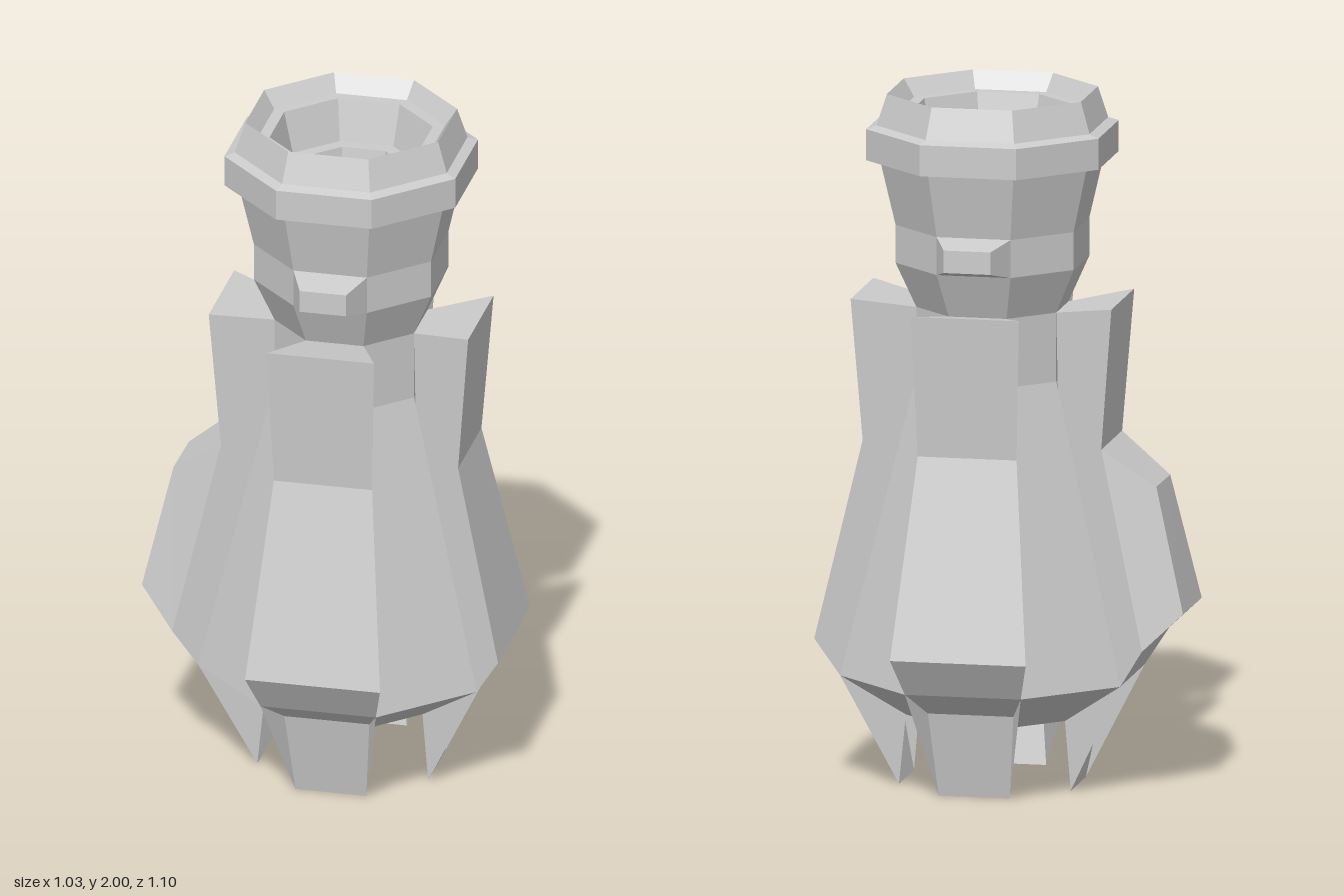
import * as THREE from 'three';

const material = new THREE.MeshStandardMaterial({ color: 0xcccccc, flatShading: true, side: THREE.DoubleSide });
const AXIS_Z = 0.035;

// Point at an angle (degrees from +x toward +z), radius and height
function polar(deg, r, y) {
  const a = THREE.MathUtils.degToRad(deg);
  return [r * Math.cos(a), y, r * Math.sin(a)];
}

function add(parent, name, geometry) {
  const mesh = new THREE.Mesh(geometry, material);
  mesh.name = name;
  parent.add(mesh);
  return mesh;
}

// Eight-sided turned form, with corners on the axes
function octagon(profile) {
  return new THREE.LatheGeometry(profile.map(([r, y]) => new THREE.Vector2(r, y)), 8);
}

// Facing strip through rows [radius, y] between two angles, listed top to bottom
function strip(a0, a1, rows) {
  const pos = [];
  for (let i = 0; i < rows.length - 1; i++) {
    const [r, y] = rows[i], [s, v] = rows[i + 1];
    const a = polar(a0, r, y), b = polar(a1, r, y), c = polar(a1, s, v), d = polar(a0, s, v);
    pos.push(...a, ...b, ...c, ...a, ...c, ...d);
  }
  return toGeometry(pos);
}

// Tapered block: four base corners joined to four raised corners, plus the outer face
function raisedBlock(base, top) {
  const pos = [];
  const quad = (a, b, c, d) => pos.push(...a, ...b, ...c, ...a, ...c, ...d);
  for (let i = 0; i < 4; i++) {
    const j = (i + 1) % 4;
    quad(base[i], base[j], top[j], top[i]);
  }
  quad(...top);
  return toGeometry(pos);
}

function toGeometry(pos) {
  // Corners run clockwise seen from outside, so swap each triangle
  for (let i = 0; i < pos.length; i += 9) {
    const b = pos.slice(i + 3, i + 6);
    for (let k = 0; k < 3; k++) {
      pos[i + 3 + k] = pos[i + 6 + k];
      pos[i + 6 + k] = b[k];
    }
  }
  const g = new THREE.BufferGeometry();
  g.setAttribute('position', new THREE.Float32BufferAttribute(pos, 3));
  g.computeVertexNormals();
  return g;
}

// Raised panel on one octagon face, with radial side walls and a pointed foot
function panel(startDeg) {
  const g = new THREE.Group();
  g.name = 'sidePanel';
  const end = startDeg + 45;
  add(g, 'panelFace', strip(startDeg, end, [[0.22, 1.38], [0.41, 1.41], [0.375, 1.0], [0.515, 0.43], [0.44, 0.32]]));
  add(g, 'panelFoot', strip(startDeg, end, [[0.325, 0.25], [0.27, 0]]));
  const wall = new THREE.Shape([[0.22, 1.38], [0.25, 0.2], [0.27, 0], [0.44, 0.32], [0.515, 0.43], [0.375, 1.0], [0.41, 1.41]]
    .map(([r, y]) => new THREE.Vector2(r, y)));
  for (const deg of [startDeg, end]) {
    add(g, 'panelWall', new THREE.ShapeGeometry(wall).rotateY(-THREE.MathUtils.degToRad(deg)));
  }
  return g;
}

export function createModel() {
  const model = new THREE.Group();
  model.name = 'octagonalBottle';
  const body = new THREE.Group();
  body.name = 'bottle';
  body.position.z = AXIS_Z;
  model.add(body);

  // Flared body and neck
  add(body, 'vessel', octagon([[0, 0.2], [0.25, 0.2], [0.44, 0.32], [0.22, 1.18], [0.22, 1.38],
    [0.28, 1.51], [0.28, 1.62], [0.325, 1.81]]));

  // Rim with stepped hollow mouth
  add(body, 'rim', octagon([[0.325, 1.81], [0.365, 1.81], [0.365, 1.9], [0.335, 1.91], [0.305, 2.0],
    [0.27, 1.95], [0.235, 1.95], [0.205, 1.83], [0.165, 1.83], [0.16, 1.8], [0, 1.8]]));

  // Panels on every other face
  for (const deg of [45, 135, 225, 315]) body.add(panel(deg));

  // Opposite lugs on the neck band
  for (const deg of [135, 315]) {
    const base = [polar(deg, 0.28, 1.62), polar(deg + 45, 0.28, 1.62), polar(deg + 45, 0.28, 1.51), polar(deg, 0.28, 1.51)];
    const [p, q] = [deg + 11.5, deg + 33.5];
    add(body, 'neckLug', raisedBlock(base,
      [polar(p, 0.355, 1.6), polar(q, 0.355, 1.6), polar(q, 0.355, 1.535), polar(p, 0.355, 1.535)]));
  }

  // Bulge on the back panel
  add(body, 'backBulge', raisedBlock(
    [polar(225, 0.375, 1.0), polar(270, 0.375, 1.0), polar(270, 0.515, 0.43), polar(225, 0.515, 0.43)],
    [polar(238, 0.506, 0.89), polar(258.5, 0.506, 0.89), polar(260, 0.595, 0.53), polar(236, 0.595, 0.53)]));

  return model;
}
